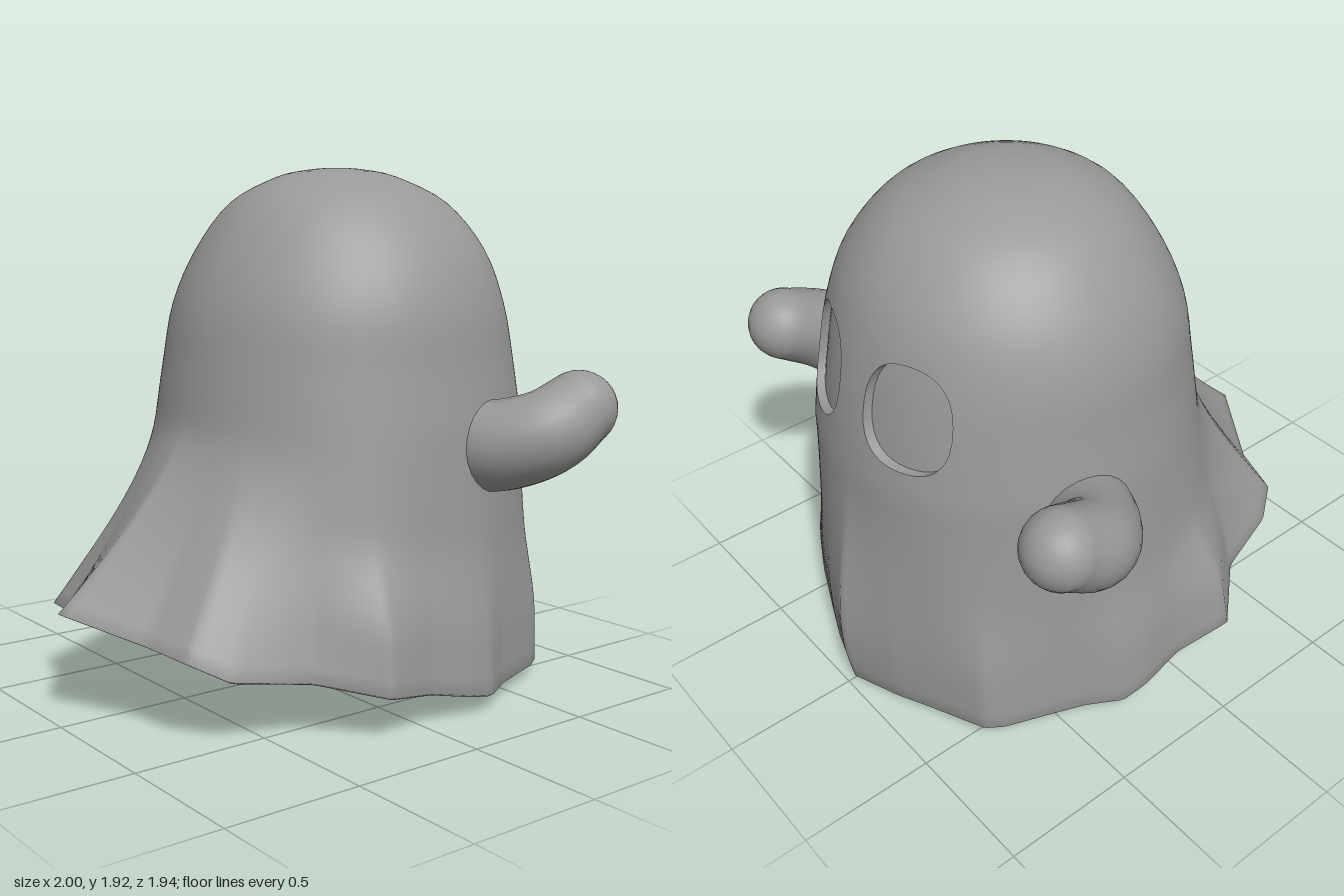
import * as THREE from 'three';
import { mergeVertices } from 'three/addons/utils/BufferGeometryUtils.js';

const SEG = 240, ROWS = 4, SKIRT_ROWS = 16;
const { smoothstep, lerp } = THREE.MathUtils;

// Head rings from crown to waist: height, front x, back x, half width
const RINGS = [
  [1.92, 0.2, 0.2, 0], [1.912, 0.315, 0.085, 0.115], [1.883, 0.435, -0.035, 0.235], [1.79, 0.615, -0.2, 0.41],
  [1.62, 0.755, -0.325, 0.55], [1.42, 0.83, -0.415, 0.63], [1.2, 0.88, -0.46, 0.66], [1.0, 0.91, -0.49, 0.688],
];
const WAIST = RINGS.length - 1;

// Half of the wavy hem, front to back: x, height, z
const HEM = [
  [0.97, 0.01, 0], [0.91, 0.03, 0.2], [0.86, 0.04, 0.32], [0.765, 0.045, 0.54], [0.7, 0.04, 0.58],
  [0.55, 0.05, 0.645], [0.42, 0.055, 0.7], [0.3, 0.06, 0.775], [0.2, 0.08, 0.785], [0.02, 0.12, 0.77],
  [-0.2, 0.16, 0.81], [-0.4, 0.205, 0.63], [-0.67, 0.24, 0.55], [-0.78, 0.3, 0.47], [-0.83, 0.325, 0.28], [-1, 0.4, 0],
].map(([x, y, z]) => ({ p: new THREE.Vector3(x, y, z), a: Math.atan2(z, x - 0.21) }));

function hemPoint(angle) {
  const a = Math.atan2(Math.sin(angle), Math.cos(angle)), abs = Math.abs(a);
  let i = 0;
  while (i < HEM.length - 2 && HEM[i + 1].a < abs) i++;
  const p = HEM[i].p.clone().lerp(HEM[i + 1].p, (abs - HEM[i].a) / (HEM[i + 1].a - HEM[i].a));
  if (a < 0) p.z *= -1;
  return p;
}

// Hem with its folds softened, used higher up the skirt
function softHem(a) {
  const sum = new THREE.Vector3();
  for (let k = -3; k <= 3; k++) sum.addScaledVector(hemPoint(a + k * 0.07), (4 - Math.abs(k)) / 16);
  return sum;
}

function ringPoint(a, v) {
  const i = Math.min(Math.floor(v), WAIST - 1), t = v - i;
  const at = k => RINGS[Math.min(k, WAIST)];
  const before = i ? RINGS[i - 1] : [1.912, 0.085, 0.315, -0.115];
  const [y, f, b, w] = [0, 1, 2, 3].map(c => {
    const p0 = before[c], p1 = at(i)[c], p2 = at(i + 1)[c], p3 = i + 2 > WAIST ? 2 * p2 - p1 : at(i + 2)[c];
    const m1 = (p2 - p0) / 2, m2 = (p3 - p1) / 2;
    return p1 + t * (m1 + t * (3 * (p2 - p1) - 2 * m1 - m2 + t * (2 * (p1 - p2) + m1 + m2)));
  });
  return new THREE.Vector3((f + b) / 2 + (f - b) / 2 * Math.cos(a), y, w * Math.sin(a));
}

// Cloth surface: a is the angle around, v runs from crown (0) over waist to hem (WAIST + 1)
function cloth(a, v) {
  if (v <= WAIST) return ringPoint(a, v);
  const u = v - WAIST, c = Math.cos(a), top = ringPoint(a, WAIST);
  const edge = hemPoint(a), hem = softHem(a).lerp(edge, smoothstep(u, 0.15, 0.85));
  // The tips at the very front and back stay sharp
  hem.lerp(edge, Math.abs(c) ** 40);
  const front = Math.max(0, c) ** 6, back = smoothstep(-c, 0.4, 0.85);
  const side = 0.65 * u + 0.35 * smoothstep(u, 0.4, 0.8);
  const bulge = smoothstep(u, 0, 1) + 0.8 * Math.sin(Math.PI * u ** 1.5);
  const w = lerp(lerp(side, bulge, front), u ** 1.3, back);
  return new THREE.Vector3(lerp(top.x, hem.x, w), lerp(top.y, edge.y, u), lerp(top.z, hem.z, w));
}

function lining(a, v) {
  const p = cloth(a, v), d = lerp(0.045, 0.035, Math.max(0, v - WAIST));
  const side = Math.min(1, v / 4);
  p.x -= d * side * Math.cos(a);
  p.z -= d * side * Math.sin(a);
  p.y -= d * Math.max(0, 1 - v / WAIST);
  return p;
}

// Adds a sheet of quads f(i, j) to a list of coordinates
function sheet(out, f, i0, i1, j0, j1, flip = false, skip = () => false) {
  for (let i = i0; i < i1; i++) for (let j = j0; j < j1; j++) {
    if (skip(i, j)) continue;
    const p = f(i, j), q = f(i + 1, j), r = f(i + 1, j + 1), s = f(i, j + 1);
    for (const k of flip ? [p, s, q, q, s, r] : [p, q, s, q, r, s]) out.push(k.x, k.y, k.z);
  }
}

function smoothGeometry(coords) {
  let g = new THREE.BufferGeometry();
  g.setAttribute('position', new THREE.Float32BufferAttribute(coords, 3));
  g = mergeVertices(g, 1e-4);
  g.computeVertexNormals();
  return g;
}

const angle = i => i / SEG * Math.PI * 2;
const level = j => j <= WAIST * ROWS ? j / ROWS : WAIST + (j - WAIST * ROWS) / SKIRT_ROWS;

// Eye window in grid cells, and eye outline in surface coordinates
const WIN = { i0: 2, i1: 26, j0: 18, j1: 27 };
const EYE = { a: 0.376, v: 5.6, ha: 0.265, hv: 0.88, power: 2.4 };
const INWARD = new THREE.Vector3(-0.035, 0, 0);

// Loop of window border points, each paired with the eye outline point it faces
function eyeLoop(s) {
  const i0 = s > 0 ? WIN.i0 : -WIN.i1, i1 = s > 0 ? WIN.i1 : -WIN.i0, { j0, j1 } = WIN;
  const loop = [];
  for (let i = i0; i < i1; i++) loop.push([i, j0]);
  for (let j = j0; j < j1; j++) loop.push([i1, j]);
  for (let i = i1; i > i0; i--) loop.push([i, j1]);
  for (let j = j1; j > j0; j--) loop.push([i0, j]);
  return loop.map(([i, j]) => {
    const a = angle(i), v = level(j);
    const da = (a - s * EYE.a) / EYE.ha, dv = (v - EYE.v) / EYE.hv;
    const k = (Math.abs(da) ** EYE.power + Math.abs(dv) ** EYE.power) ** (-1 / EYE.power);
    return { a, v, ea: s * EYE.a + EYE.ha * da * k, ev: EYE.v + EYE.hv * dv * k };
  });
}

export function createModel() {
  const model = new THREE.Group();
  model.name = 'ghost';
  const grey = new THREE.MeshStandardMaterial({ color: 0x999999 });
  grey.name = 'grey cloth';
  const add = (geometry, name, parent = model) => {
    const mesh = new THREE.Mesh(geometry, grey);
    mesh.name = name;
    parent.add(mesh);
    return mesh;
  };

  // Draped sheet with lining and rounded hem, leaving windows for the eyes
  const rows = WAIST * ROWS + SKIRT_ROWS, half = SEG / 2, end = WAIST + 1;
  const body = [];
  const inWindow = (i, j) => {
    const k = i < 0 ? -i - 1 : i;
    return k >= WIN.i0 && k < WIN.i1 && j >= WIN.j0 && j < WIN.j1;
  };
  sheet(body, (i, j) => cloth(angle(i), level(j)), -half, half, 0, rows, false, inWindow);
  sheet(body, (i, j) => lining(angle(i), level(j)), -half, half, 0, rows, true);
  sheet(body, (i, j) => {
    const a = angle(i), p = cloth(a, end).lerp(lining(a, end), j / 2);
    if (j === 1) p.y -= 0.01;
    return p;
  }, -half, half, 0, 2);

  // Eyes: cloth up to the outline, then a short wall and a sunken floor
  for (const s of [1, -1]) {
    const loop = eyeLoop(s), n = loop.length, at = k => loop[k % n];
    sheet(body, (k, r) => {
      const e = at(k);
      return cloth(lerp(e.a, e.ea, r / 3), lerp(e.v, e.ev, r / 3));
    }, 0, n, 0, 3);
    const wall = [], floor = [];
    sheet(wall, (k, r) => cloth(at(k).ea, at(k).ev).addScaledVector(INWARD, r), 0, n, 0, 1);
    sheet(floor, (k, r) => {
      const e = at(k);
      return cloth(lerp(e.ea, s * EYE.a, r / 4), lerp(e.ev, EYE.v, r / 4)).add(INWARD);
    }, 0, n, 0, 4);
    const side = s > 0 ? 'left' : 'right';
    add(smoothGeometry(wall), side + 'EyeRim');
    add(smoothGeometry(floor), side + 'EyeSocket');
  }
  add(smoothGeometry(body), 'sheetBody');

  // Bent stubby arms reaching forward
  for (const s of [1, -1]) {
    const arm = new THREE.Group();
    arm.name = s > 0 ? 'leftArm' : 'rightArm';
    const path = new THREE.CatmullRomCurve3([
      [0.36, 0.925, 0.56], [0.405, 0.935, 0.69], [0.505, 0.985, 0.805], [0.648, 1.06, 0.825],
    ].map(([x, y, z]) => new THREE.Vector3(x, y, z * s)));
    const steps = 20, sides = 24, tip = 0.138;
    const tube = new THREE.TubeGeometry(path, steps, 1, sides);
    const pos = tube.attributes.position, v = new THREE.Vector3();
    for (let k = 0; k < pos.count; k++) {
      const t = Math.floor(k / (sides + 1)) / steps, c = path.getPointAt(t);
      v.fromBufferAttribute(pos, k).sub(c).multiplyScalar(lerp(0.166, tip, t * t)).add(c);
      pos.setXYZ(k, v.x, v.y, v.z);
    }
    add(tube, 'sleeve', arm);
    add(new THREE.SphereGeometry(tip, 24, 16), 'hand', arm).position.copy(path.getPoint(1));
    model.add(arm);
  }
  return model;
}
